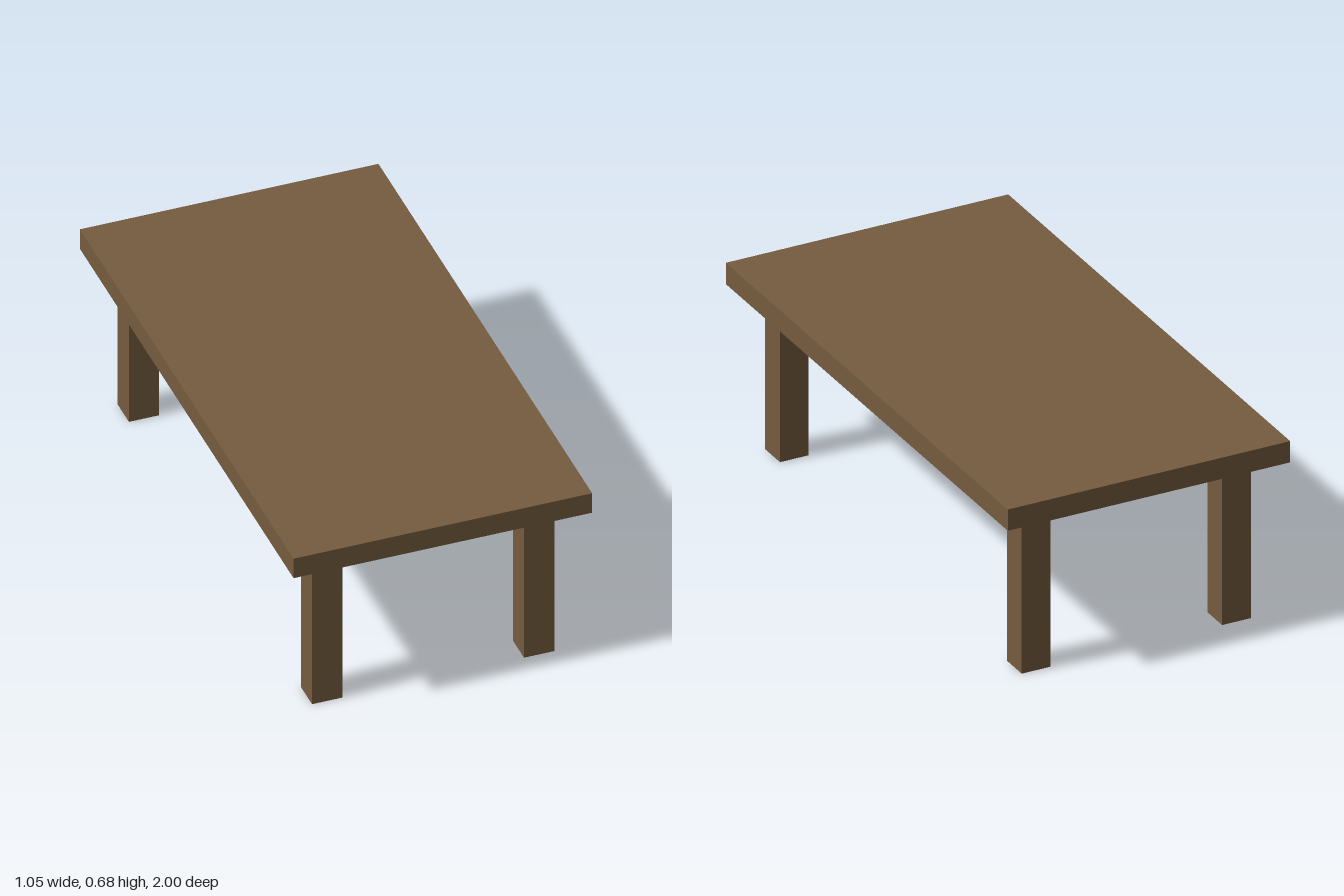
import * as THREE from 'three';

export function createModel() {
  const table = new THREE.Group();
  table.name = 'table';
  const wood = new THREE.MeshStandardMaterial({ color: 0x755c3f });
  wood.name = 'brown wood';

  const addBox = (name, size, position) => {
    const mesh = new THREE.Mesh(new THREE.BoxGeometry(...size), wood);
    mesh.name = name;
    mesh.position.set(...position);
    table.add(mesh);
  };

  // Flat slab top
  const legHeight = 0.597, topThickness = 0.079;
  addBox('tableTop', [1.054, topThickness, 2], [0, legHeight + topThickness / 2, 0]);

  // Four square legs, set in from the corners
  for (const [side, x] of [['Left', 0.374], ['Right', -0.374]]) {
    for (const [end, z] of [['front', 0.857], ['back', -0.857]]) {
      addBox(`${end}${side}Leg`, [0.107, legHeight, 0.105], [x, legHeight / 2, z]);
    }
  }

  return table;
}
